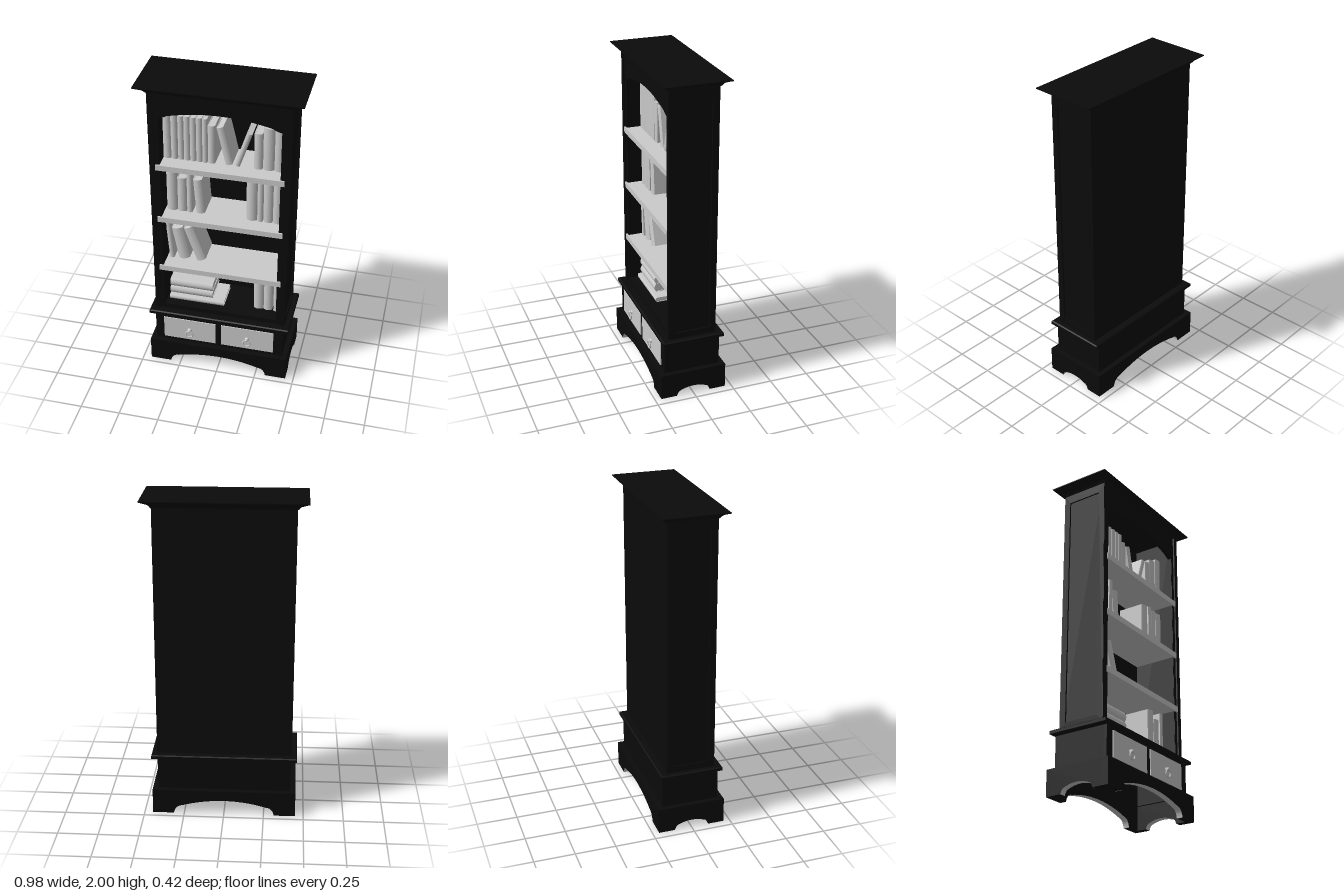
import * as THREE from 'three';

const grey = new THREE.MeshStandardMaterial({ color: 0xcccccc, side: THREE.DoubleSide });
const dark = new THREE.MeshStandardMaterial({ color: 0x0b0b0b, side: THREE.DoubleSide });

function add(parent, name, geometry, material) {
  const mesh = new THREE.Mesh(geometry, material);
  mesh.name = name;
  parent.add(mesh);
  return mesh;
}

// Box given by its extents on each axis
function block(parent, name, [x0, x1], [y0, y1], [z0, z1], material = dark) {
  const mesh = add(parent, name, new THREE.BoxGeometry(x1 - x0, y1 - y0, z1 - z0), material);
  mesh.position.set((x0 + x1) / 2, (y0 + y1) / 2, (z0 + z1) / 2);
  return mesh;
}

// Stacked rectangular sections [halfX, halfZ, y], closed at both ends
function moulding(parent, name, levels) {
  const pos = [], index = [];
  for (const [x, z, y] of levels) pos.push(-x, y, z, x, y, z, x, y, -z, -x, y, -z);
  for (let l = 0; l < levels.length - 1; l++) {
    for (let i = 0; i < 4; i++) {
      const a = l * 4 + i, b = l * 4 + (i + 1) % 4;
      index.push(a, b, b + 4, a, b + 4, a + 4);
    }
  }
  const t = (levels.length - 1) * 4;
  index.push(0, 2, 1, 0, 3, 2, t, t + 1, t + 2, t, t + 2, t + 3);
  const g = new THREE.BufferGeometry();
  g.setAttribute('position', new THREE.Float32BufferAttribute(pos, 3));
  g.setIndex(index);
  const flat = g.toNonIndexed();
  flat.computeVertexNormals();
  return add(parent, name, flat, dark);
}

const extrude = (shape, depth) =>
  new THREE.ExtrudeGeometry(shape, { depth, bevelEnabled: false, curveSegments: 16 });

function rectPath(x0, x1, y0, y1) {
  return new THREE.Shape().moveTo(x0, y0).lineTo(x1, y0).lineTo(x1, y1).lineTo(x0, y1).closePath();
}

// Plinth board with an arched cut-out between bracket feet
function plinthBoard(parent, name, half, foot, spring, springY, topY) {
  const board = new THREE.Group();
  board.name = name;
  const arch = new THREE.Path().moveTo(-foot, 0);
  arch.quadraticCurveTo(-foot + 0.01, springY * 0.95, -spring, springY);
  arch.quadraticCurveTo(0, 2 * topY - springY, spring, springY);
  arch.quadraticCurveTo(foot - 0.01, springY * 0.95, foot, 0);
  const curve = arch.getPoints(16);
  const outline = [new THREE.Vector2(-half, 0), ...curve, new THREE.Vector2(half, 0),
    new THREE.Vector2(half, 0.16), new THREE.Vector2(-half, 0.16)];
  add(board, 'board', extrude(new THREE.Shape(outline), 0.04), dark);
  const inner = curve.map(p => p.clone().multiplyScalar(0.985)).reverse();
  add(board, 'archLining', extrude(new THREE.Shape([...curve, ...inner]), 0.04), [dark, grey]);
  parent.add(board);
  return board;
}

// Book with rounded spine facing +z, standing on its origin
function makeBook(w, h, depth) {
  const book = new THREE.Group();
  book.name = 'book';
  const c = Math.min(0.004, w * 0.12), r = w * 0.2, x = w / 2;
  const s = new THREE.Shape().moveTo(-x, depth).lineTo(-x, r).quadraticCurveTo(0, -r, x, r).lineTo(x, depth);
  s.lineTo(x - c, depth).lineTo(x - c, r + c).lineTo(c - x, r + c).lineTo(c - x, depth).closePath();
  const cover = extrude(s, h);
  cover.rotateX(-Math.PI / 2);
  add(book, 'cover', cover, grey);
  block(book, 'pages', [c - x, x - c], [0.004, h - 0.004], [0.004 - depth, -r - c], grey);
  return book;
}

export function createModel() {
  const model = new THREE.Group();
  model.name = 'bookcase';

  // Plinth
  for (const s of [1, -1]) {
    const face = plinthBoard(model, s > 0 ? 'frontPlinth' : 'backPlinth', 0.448, 0.32, 0.27, 0.055, 0.095);
    face.position.z = s > 0 ? 0.17 : -0.21;
    const side = plinthBoard(model, 'sidePlinth', 0.2, 0.11, 0.085, 0.035, 0.053);
    side.rotation.y = Math.PI / 2;
    side.position.x = s > 0 ? 0.408 : -0.448;
  }

  // Lower case, open underneath
  const front = rectPath(-0.415, 0.415, 0.15, 0.37);
  for (const x of [-0.19, 0.187]) front.holes.push(rectPath(x - 0.17, x + 0.17, 0.183, 0.342));
  add(model, 'drawerFrame', extrude(front, 0.02), dark).position.z = 0.158;
  block(model, 'lowerBack', [-0.415, 0.415], [0.15, 0.37], [-0.178, -0.16]);
  for (const s of [1, -1]) block(model, 'lowerSide', [s * 0.405 - 0.01, s * 0.405 + 0.01], [0.15, 0.37], [-0.17, 0.17]);
  moulding(model, 'waistMoulding', [[0.44, 0.185, 0.362], [0.453, 0.195, 0.368], [0.453, 0.195, 0.386], [0.445, 0.187, 0.391]]);

  // Drawers with ring pulls
  for (const x of [-0.19, 0.187]) {
    const drawer = new THREE.Group();
    drawer.name = 'drawer';
    drawer.position.x = x;
    block(drawer, 'drawerFront', [-0.17, 0.17], [0.183, 0.342], [0.13, 0.184], grey);
    const rose = add(drawer, 'rose', new THREE.CylinderGeometry(0.011, 0.015, 0.01, 16), grey);
    rose.rotation.x = Math.PI / 2;
    rose.position.set(0, 0.262, 0.188);
    add(drawer, 'knob', new THREE.SphereGeometry(0.01, 12, 8), grey).position.set(0, 0.264, 0.196);
    add(drawer, 'ring', new THREE.TorusGeometry(0.023, 0.005, 8, 24), grey).position.set(0, 0.238, 0.198);
    model.add(drawer);
  }

  // Upper case: floor, back, top and panelled sides
  block(model, 'caseFloor', [-0.41, 0.41], [0.385, 0.424], [-0.145, 0.142]);
  block(model, 'backPanel', [-0.42, 0.42], [0.385, 1.965], [-0.15, -0.135]);
  block(model, 'caseTop', [-0.41, 0.41], [1.92, 1.965], [-0.145, 0.142]);
  for (const s of [1, -1]) {
    block(model, 'sidePanel', [s * 0.385 - 0.025, s * 0.385 + 0.025], [0.385, 1.965], [-0.14, 0.14]);
    const frame = rectPath(-0.15, 0.15, 0.385, 1.965);
    frame.holes.push(rectPath(-0.11, 0.11, 0.43, 1.9));
    const mesh = add(model, 'sideFrame', extrude(frame, 0.01), dark);
    mesh.rotation.y = Math.PI / 2;
    mesh.position.x = s > 0 ? 0.41 : -0.42;
    block(model, 'cornerPost', [s * 0.402 - 0.016, s * 0.402 + 0.016], [0.385, 1.965], [0.12, 0.152]);
  }

  // Face frame with arched opening
  const face = rectPath(-0.4, 0.4, 0.385, 1.965);
  const opening = new THREE.Path().moveTo(-0.362, 0.424).lineTo(0.362, 0.424).lineTo(0.362, 1.79);
  opening.quadraticCurveTo(0.33, 1.795, 0.31, 1.81).quadraticCurveTo(0, 1.89, -0.31, 1.81);
  opening.quadraticCurveTo(-0.33, 1.795, -0.362, 1.79).closePath();
  face.holes.push(opening);
  add(model, 'faceFrame', extrude(face, 0.022), dark).position.z = 0.12;

  // Crown
  moulding(model, 'crown', [[0.425, 0.155, 1.955], [0.432, 0.165, 1.968], [0.442, 0.172, 1.976],
    [0.462, 0.186, 1.985], [0.488, 0.2, 1.995], [0.488, 0.2, 2]]);

  // Shelves
  for (const y of [0.737, 1.106, 1.477]) {
    block(model, 'shelf', [-0.362, 0.362], [y - 0.035, y], [-0.14, 0.145], grey);
    block(model, 'shelfLip', [-0.385, 0.385], [y - 0.036, y], [0.14, 0.152], grey);
  }

  // Upright books: shelf height, then [left, right, top]
  const upright = [
    [1.477, [[-0.36, -0.315, 1.79], [-0.312, -0.275, 1.79], [-0.27, -0.237, 1.77], [-0.234, -0.2, 1.77],
      [-0.197, -0.163, 1.77], [-0.16, -0.126, 1.77], [-0.123, -0.094, 1.77], [-0.09, -0.047, 1.73],
      [0.185, 0.234, 1.715], [0.238, 0.303, 1.757], [0.306, 0.36, 1.79]]],
    [1.106, [[-0.35, -0.286, 1.386], [-0.282, -0.228, 1.344], [-0.223, -0.19, 1.397], [0.143, 0.207, 1.386],
      [0.211, 0.244, 1.397], [0.248, 0.303, 1.386], [0.306, 0.36, 1.386]]],
    [0.424, [[0.2, 0.262, 0.683], [0.265, 0.32, 0.64], [0.328, 0.36, 0.695]]],
  ];
  for (const [y, books] of upright) {
    for (const [x0, x1, top] of books) {
      const book = makeBook(x1 - x0, top - y, 0.18);
      book.position.set((x0 + x1) / 2, y, 0.06);
      model.add(book);
    }
  }

  // Leaning books: [foot x, shelf height, width, height, tilt]
  const leaning = [
    [0.037, 1.477, 0.04, 0.25, 0.224], [0.085, 1.477, 0.033, 0.235, -0.31], [-0.14, 1.106, 0.053, 0.238, 0.075],
    [-0.328, 0.737, 0.028, 0.29, 0.08], [-0.25, 0.737, 0.07, 0.23, 0.19], [-0.14, 0.737, 0.058, 0.25, 0.34],
  ];
  for (const [x, y, w, h, tilt] of leaning) {
    const book = makeBook(w, h, 0.18);
    book.position.set(x, y + Math.abs(Math.sin(tilt)) * w / 2, 0.06);
    book.rotation.z = tilt;
    model.add(book);
  }

  // Stacked books lying flat: [left, right, bottom, top, front z]
  for (const [x0, x1, y0, y1, z] of [[-0.344, 0.013, 0.424, 0.455, 0.09], [-0.344, -0.065, 0.456, 0.51, 0.07], [-0.344, -0.065, 0.511, 0.566, 0.07]]) {
    const book = makeBook(y1 - y0, x1 - x0, 0.19);
    book.rotation.z = -Math.PI / 2;
    book.position.set(x0, (y0 + y1) / 2, z);
    model.add(book);
  }
  return model;
}
